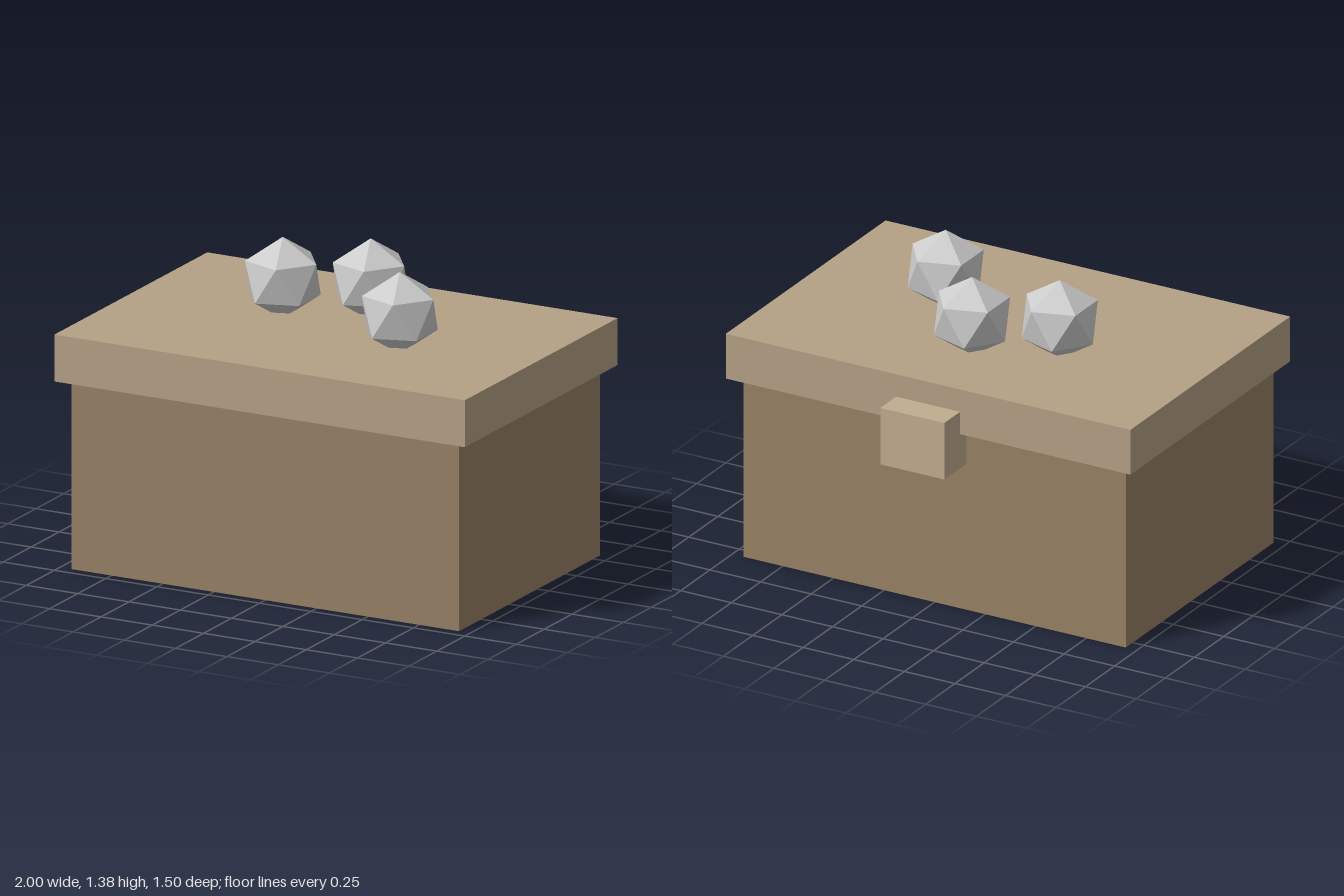
import * as THREE from 'three';

export function createModel() {
  const group = new THREE.Group();

  // Adds a box given its min and max corners
  const addBox = (name, color, [x0, y0, z0], [x1, y1, z1]) => {
    const mesh = new THREE.Mesh(
      new THREE.BoxGeometry(x1 - x0, y1 - y0, z1 - z0),
      new THREE.MeshStandardMaterial({ color, flatShading: true })
    );
    mesh.name = name;
    mesh.position.set((x0 + x1) / 2, (y0 + y1) / 2, (z0 + z1) / 2);
    group.add(mesh);
  };

  // Chest: body, overhanging lid and the latch on the back
  addBox('chestBody', 0x988166, [-0.945, 0, -0.56], [0.945, 0.845, 0.7]);
  addBox('lid', 0xb5a185, [-1, 0.845, -0.615], [1, 1.055, 0.75]);
  addBox('latch', 0xc0ad8f, [-0.158, 0.685, -0.75], [0.158, 0.95, -0.48]);

  // Faceted stones, turned so one corner points straight up, sunk slightly into the lid
  const stoneGeometry = new THREE.IcosahedronGeometry(0.183, 0);
  stoneGeometry.rotateZ(-Math.atan(2 / (1 + Math.sqrt(5))));
  const stoneMaterial = new THREE.MeshStandardMaterial({ color: 0xcccccc, flatShading: true });
  [[-0.318, -0.04], [0.023, -0.2], [0.367, 0.17]].forEach(([x, z], i) => {
    const stone = new THREE.Mesh(stoneGeometry, stoneMaterial);
    stone.name = `stone${i + 1}`;
    stone.position.set(x, 1.197, z);
    group.add(stone);
  });

  return group;
}
